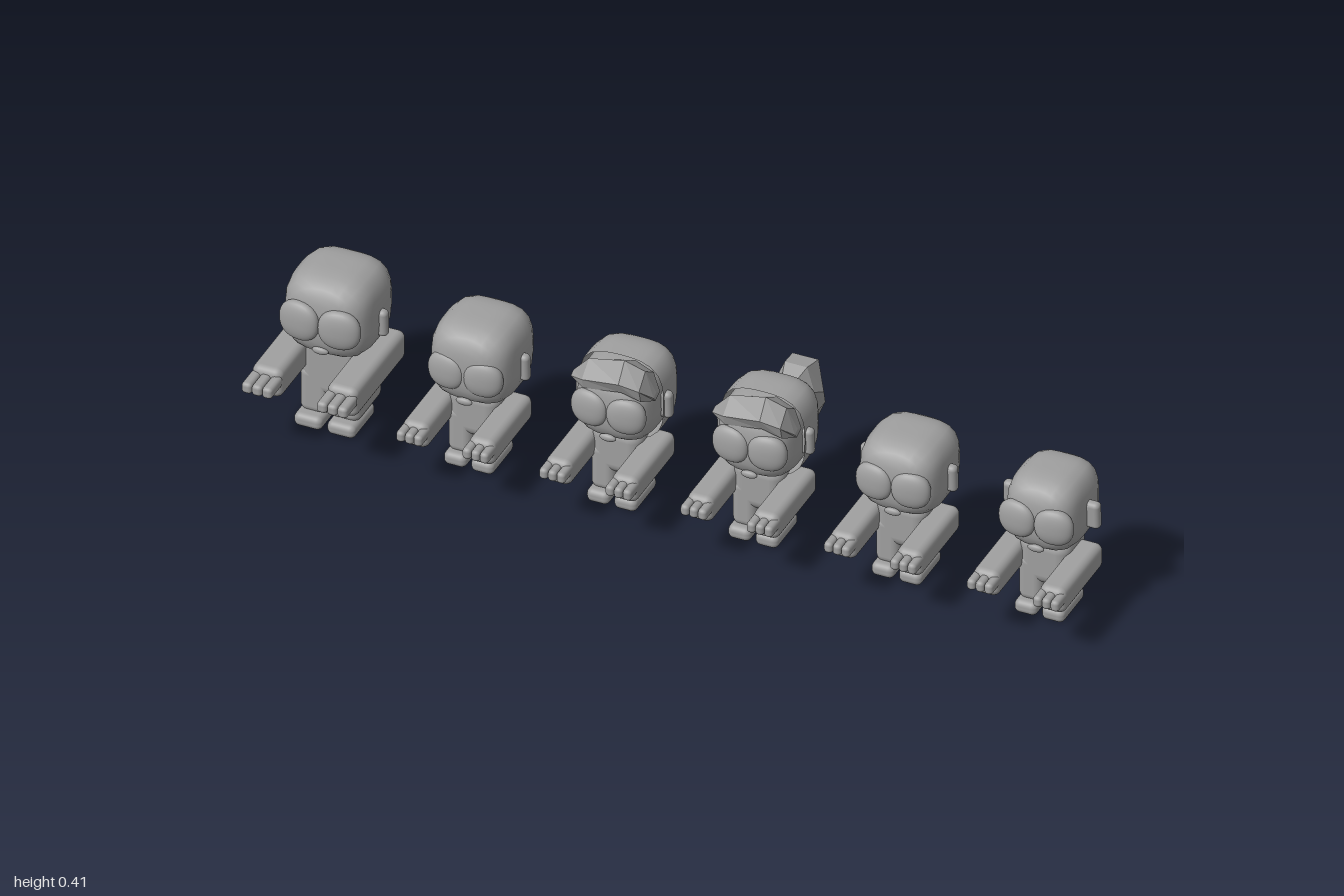
import * as THREE from 'three';
import { RoundedBoxGeometry } from 'three/addons/geometries/RoundedBoxGeometry.js';

const grey = new THREE.MeshStandardMaterial({ color: 0xa0a0a0, side: THREE.DoubleSide });
grey.name = 'grey';

function add(group, name, geometry, x = 0, y = 0, z = 0) {
  const mesh = new THREE.Mesh(geometry, grey);
  mesh.name = name;
  mesh.position.set(x, y, z);
  group.add(mesh);
  return mesh;
}

// Boxy ellipsoid; n = 2 is round, higher is squarer. theta < PI leaves the front open.
function blob(rx, ry, rz, n = 2, theta = Math.PI) {
  const g = new THREE.SphereGeometry(1, 28, 20, 0, Math.PI * 2, 0, theta).rotateX(-Math.PI / 2);
  const p = g.attributes.position, normals = g.attributes.normal;
  const v = new THREE.Vector3();
  const slope = (a) => Math.sign(a) * Math.abs(a) ** (n - 1);
  for (let i = 0; i < p.count; i++) {
    v.fromBufferAttribute(p, i);
    v.divideScalar((Math.abs(v.x) ** n + Math.abs(v.y) ** n + Math.abs(v.z) ** n) ** (1 / n));
    p.setXYZ(i, v.x * rx, v.y * ry, v.z * rz);
    v.set(slope(v.x) / rx, slope(v.y) / ry, slope(v.z) / rz).normalize();
    normals.setXYZ(i, v.x, v.y, v.z);
  }
  return g;
}

// Faceted skin over a row of rings, closed at both ends
function loft(rings) {
  const m = rings[0].length, index = [];
  for (let i = 0; i < rings.length - 1; i++) {
    for (let j = 0; j < m; j++) {
      const k = (j + 1) % m, a = i * m + j, b = i * m + k;
      index.push(a, b, b + m, a, b + m, a + m);
    }
  }
  const end = (rings.length - 1) * m;
  for (let j = 1; j < m - 1; j++) index.push(0, j + 1, j, end, end + j, end + j + 1);
  const g = new THREE.BufferGeometry();
  g.setAttribute('position', new THREE.Float32BufferAttribute(rings.flat(2), 3));
  g.setIndex(index);
  const flat = g.toNonIndexed();
  flat.computeVertexNormals();
  return flat;
}

// Swept fringe: x, then (y, z) of the top, front, lower and back edges
function fringe() {
  const sections = [
    [-0.105, 0.325, 0.045, 0.318, 0.06, 0.308, 0.05, 0.315, 0.03],
    [-0.06, 0.378, 0.06, 0.345, 0.1, 0.318, 0.092, 0.35, 0.02],
    [0.035, 0.41, 0.078, 0.365, 0.112, 0.335, 0.097, 0.375, 0.02],
    [0.08, 0.385, 0.065, 0.35, 0.1, 0.318, 0.09, 0.355, 0.02],
    [0.1, 0.325, 0.05, 0.318, 0.065, 0.305, 0.055, 0.315, 0.03],
  ];
  return loft(sections.map(([x, ...s]) => [0, 2, 4, 6].map((i) => [x, s[i], s[i + 1]])));
}

// Ponytail: upper z, y, lower z, y, and half width along its length
function ponytail() {
  const sections = [
    [-0.09, 0.325, -0.09, 0.245, 0.034],
    [-0.127, 0.325, -0.129, 0.246, 0.034],
    [-0.16, 0.339, -0.14, 0.228, 0.05],
    [-0.212, 0.329, -0.155, 0.205, 0.058],
    [-0.232, 0.268, -0.168, 0.188, 0.054],
    [-0.236, 0.164, -0.214, 0.154, 0.022],
  ];
  return loft(sections.map(([z0, y0, z1, y1, w]) => {
    const point = (side, t) => [side * w, y0 + (y1 - y0) * t, z0 + (z1 - z0) * t];
    return [point(0.55, 0), point(1, 0.5), point(0.55, 1), point(-0.55, 1), point(-1, 0.5), point(-0.55, 0)];
  }));
}

// Measurements shared by the five smaller figures
const small = {
  headW: 0.095, headH: 0.094, headD: 0.102, headY: 0.272, headZ: -0.003, eyeY: 0.27, eyeR: 0.046, eyeZ: 0.09,
  mouthY: 0.2, earY: 0.264, earX: 0.1, bodyW: 0.124, bodyD: 0.118, bodyZ: 0, bodyTop: 0.2,
  armX: 0.081, armW: 0.064, armY: 0.14, armH: 0.065, armBack: -0.033, armFront: 0.187, fingerEnd: 0.218,
};
const large = {
  headW: 0.108, headH: 0.104, headD: 0.106, headY: 0.306, headZ: -0.005, eyeY: 0.307, eyeR: 0.05, eyeZ: 0.098,
  mouthY: 0.235, earY: 0.285, earX: 0.106, bodyW: 0.15, bodyD: 0.137, bodyZ: -0.017, bodyTop: 0.23,
  armX: 0.092, armW: 0.075, armY: 0.178, armH: 0.075, armBack: -0.09, armFront: 0.185, fingerEnd: 0.237,
};

function figure(name, s) {
  const g = new THREE.Group();
  g.name = name;

  // Head and face
  add(g, 'head', blob(s.headW, s.headH, s.headD, 3.3), 0, s.headY, s.headZ);
  const mouth = add(g, 'mouth', blob(0.02, 0.01, 0.008), 0, s.mouthY, s.headZ + s.headD * 0.93);
  mouth.rotation.x = 0.4;

  // Torso
  const torsoH = s.bodyTop - 0.075;
  add(g, 'torso', new RoundedBoxGeometry(s.bodyW, torsoH, s.bodyD, 3, 0.03), 0, 0.075 + torsoH / 2, s.bodyZ);

  for (const side of [-1, 1]) {
    const label = side > 0 ? 'left' : 'right';
    const eye = add(g, label + 'Eye', blob(s.eyeR, s.eyeR, 0.021, 2.3), side * s.eyeR * 0.98, s.eyeY, s.eyeZ);
    eye.rotation.y = side * 0.12;
    const ear = add(g, label + 'Ear', new RoundedBoxGeometry(0.036, 0.07, 0.025, 3, 0.011), side * s.earX, s.earY, 0);
    ear.rotation.x = 0.06;

    // Leg and foot
    const legW = s.bodyW / 2 - 0.002;
    add(g, label + 'Leg', new RoundedBoxGeometry(legW, 0.12, s.bodyD, 3, 0.02), side * s.bodyW / 4, 0.085, s.bodyZ);
    add(g, label + 'Foot', new RoundedBoxGeometry(legW - 0.004, 0.034, 0.121, 3, 0.014),
      side * s.bodyW * 0.27, 0.017, 0.0175);

    // Outstretched arm with three fingers
    const armL = s.armFront - s.armBack;
    add(g, label + 'Arm', new RoundedBoxGeometry(s.armW, s.armH, armL, 3, 0.018),
      side * s.armX, s.armY, (s.armFront + s.armBack) / 2);
    for (const i of [-1, 0, 1]) {
      add(g, label + 'Finger', new RoundedBoxGeometry(s.armW / 3, 0.028, 0.065, 2, 0.009),
        side * s.armX + i * s.armW / 3, s.armY + 0.009, s.fingerEnd - 0.0325);
    }
  }
  return g;
}

// Hair shell open at the face, with a swept fringe
function addHair(g, s) {
  add(g, 'hairCap', blob(s.headW + 0.008, s.headH + 0.011, s.headD + 0.007, 3.3, Math.PI * 0.56), 0, s.headY, s.headZ);
  add(g, 'fringe', fringe());
}

export function createModel() {
  const model = new THREE.Group();
  model.name = 'figureRow';
  const figures = [
    ['largeFigure', -0.87, large],
    ['tallFigure', -0.517, { ...small, headW: 0.102, headH: 0.101, headY: 0.279, headD: 0.106 }],
    ['fringeFigure', -0.167, small],
    ['ponytailFigure', 0.179, small],
    ['wideFigure', 0.53, { ...small, headW: 0.1 }],
    ['slimFigure', 0.88, { ...small, headW: 0.09, headD: 0.1 }],
  ];
  for (const [name, x, sizes] of figures) {
    const g = figure(name, sizes);
    g.position.x = x;
    if (name === 'fringeFigure' || name === 'ponytailFigure') addHair(g, sizes);
    if (name === 'ponytailFigure') add(g, 'ponytail', ponytail());
    model.add(g);
  }
  return model;
}
